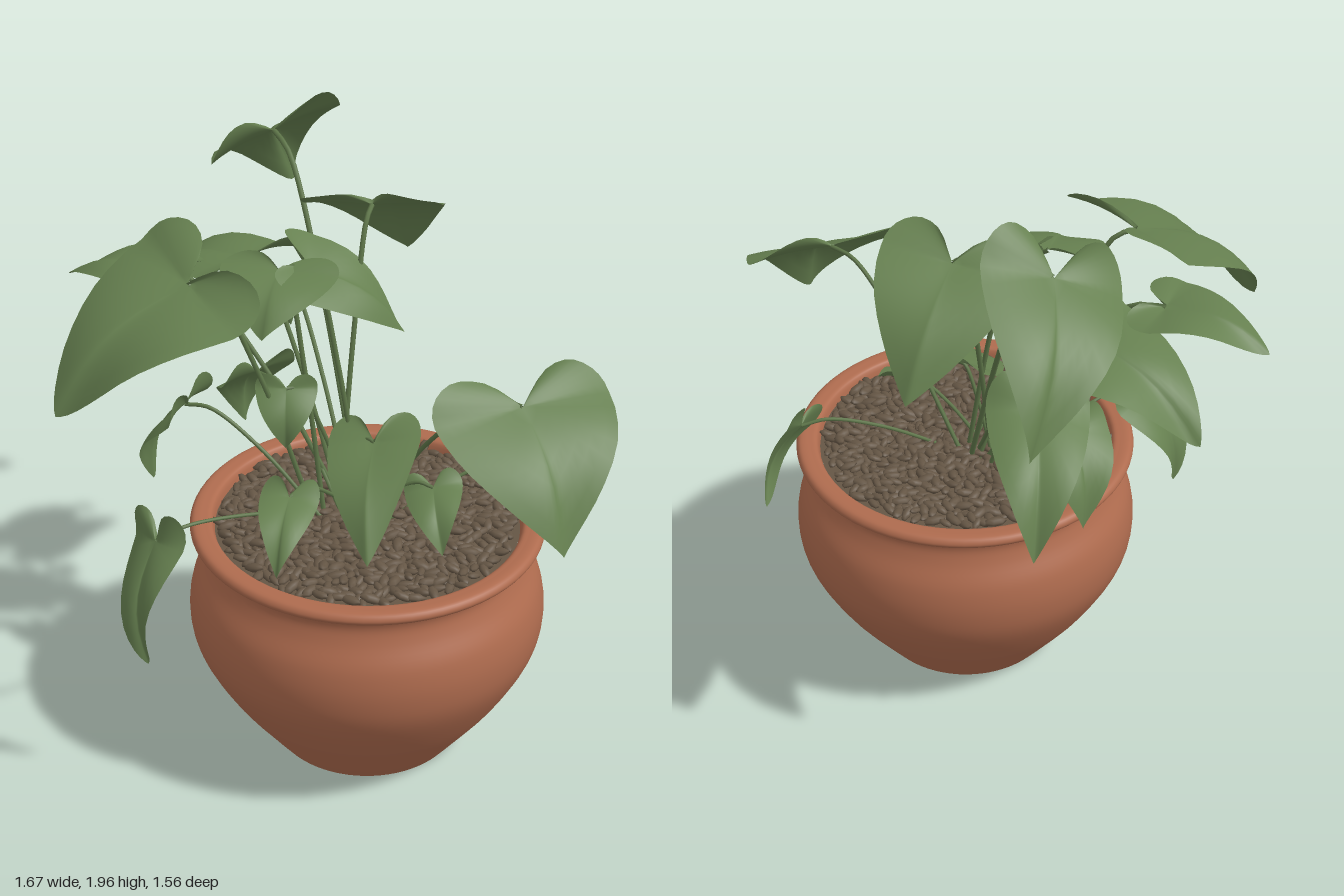
import * as THREE from 'three';
import { mergeGeometries } from 'three/addons/utils/BufferGeometryUtils.js';

const UP = new THREE.Vector3(0, 1, 0);
const CX = 0.11, CZ = 0.22; // pot axis

const mat = (name, color, side = THREE.FrontSide) => {
  const m = new THREE.MeshStandardMaterial({ color, side });
  m.name = name;
  return m;
};

// Small seeded random
let seed = 7;
const rnd = () => ((seed = (seed * 16807) % 2147483647) / 2147483647);

const spline = (pts, n) => new THREE.SplineCurve(pts.map((p) => new THREE.Vector2(...p))).getPoints(n);

// Heart outline, [sideways, along the midrib], mirrored to the other side
const half = spline([[0, 1], [0.16, 0.9], [0.5, 0.66], [0.84, 0.34], [1, 0.02], [0.93, -0.24], [0.66, -0.38], [0.3, -0.3], [0, 0]], 22);
const outline = [...half, ...half.slice(1, -1).reverse().map((p) => new THREE.Vector2(-p.x, p.y))];

// Heart leaf from stalk joint to tip, rolled about its midrib (degrees)
function leafGeometry(joint, tip, halfWidth, roll, phase) {
  const along = tip.clone().sub(joint), len = along.length();
  const side = along.clone().cross(UP).setLength(halfWidth);
  side.applyAxisAngle(along.clone().normalize(), THREE.MathUtils.degToRad(-roll));
  const n = along.clone().cross(side).normalize();
  if (n.y < 0) n.negate();
  const rings = 7, N = outline.length;
  const pos = joint.toArray(), idx = [];
  for (let r = 1; r <= rings; r++) {
    const k = r / rings;
    outline.forEach((o, i) => {
      const v = o.x * k, u = o.y * k;
      // arched blade, sunken midrib, gently waved margin
      const arch = 0.15 * Math.sin(Math.PI * Math.max(u, 0)) + 0.05 * Math.sqrt(v * v + 0.002) - 0.08 * v * v;
      const wave = 0.035 * k * k * Math.sin((i / N) * Math.PI * 8 + phase);
      const p = joint.clone().addScaledVector(side, v).addScaledVector(along, u > 0 ? u : u * 0.65);
      p.addScaledVector(n, len * (arch + wave));
      pos.push(p.x, p.y, p.z);
    });
  }
  for (let i = 0; i < N; i++) {
    const j = (i + 1) % N;
    idx.push(0, 1 + i, 1 + j);
    for (let r = 0; r < rings - 1; r++) {
      const a = 1 + r * N + i, b = 1 + r * N + j;
      idx.push(a, a + N, b + N, a, b + N, b);
    }
  }
  const g = new THREE.BufferGeometry();
  g.setAttribute('position', new THREE.Float32BufferAttribute(pos, 3));
  g.setIndex(idx);
  g.computeVertexNormals();
  return g;
}

// Leaves: joint xyz, tip xyz, half width, roll
const leaves = [
  // tall rear leaves
  [-0.2, 1.82, -0.38, -0.16, 1.47, -0.78, 0.22, 29],
  [0.11, 1.69, -0.13, 0.22, 1.38, -0.43, 0.22, 9],
  [-0.28, 1.48, -0.18, -0.64, 1.26, -0.39, 0.21, -8],
  [-0.16, 1.32, -0.33, -0.17, 1, -0.65, 0.155, 6],
  // left side
  [-0.42, 1.6, 0.24, -0.8, 1.25, 0.43, 0.285, 10],
  [-0.52, 1.5, -0.03, -0.83, 1.42, -0.15, 0.15],
  [-0.46, 1.1, 0.08, -0.58, 0.8, 0.03, 0.13],
  [-0.52, 0.87, 0.5, -0.55, 0.5, 0.62, 0.11, -31],
  // middle
  [-0.08, 1.58, 0.08, 0.21, 1.33, 0.03, 0.14, -25],
  [-0.16, 1.59, 0.12, -0.2, 1.47, 0.34, 0.18],
  [-0.14, 1.22, 0.18, -0.14, 1.05, 0.25, 0.095],
  [-0.25, 1.1, -0.13, -0.3, 0.83, -0.28, 0.13, 13],
  // low front
  [0.13, 1.07, 0.24, 0.12, 0.82, 0.55, 0.145, -14],
  [-0.12, 0.99, 0.43, -0.15, 0.84, 0.64, 0.09],
  [0.31, 0.95, 0.3, 0.34, 0.81, 0.46, 0.09, -15],
  // right side
  [0.56, 1.34, 0.47, 0.68, 1, 0.74, 0.28],
  [0.62, 0.92, 0.06, 0.72, 0.67, -0.06, 0.11, -69],
];

export function createModel() {
  const model = new THREE.Group();
  model.name = 'pottedPlant';
  const clay = mat('terracotta', 0xae6b4e);
  const stone = mat('brownPebble', 0x655645);
  const green = mat('leafGreen', 0x668050, THREE.DoubleSide);
  const stemGreen = mat('stemGreen', 0x5d7448);
  const add = (name, geo, m, parent = model) => {
    const mesh = new THREE.Mesh(geo, m);
    mesh.name = name;
    parent.add(mesh);
    return mesh;
  };

  // Bellied pot with a rolled rim
  const wall = spline([
    [0.3, 0], [0.36, 0.08], [0.46, 0.22], [0.54, 0.37], [0.56, 0.48], [0.545, 0.58], [0.505, 0.66], [0.49, 0.71],
    [0.505, 0.75], [0.54, 0.763], [0.552, 0.78], [0.54, 0.798], [0.51, 0.8], [0.482, 0.79], [0.47, 0.73],
  ], 70);
  add('pot', new THREE.LatheGeometry(wall, 72), clay).position.set(CX, 0, CZ);
  const base = add('potBase', new THREE.CircleGeometry(0.3, 72), clay);
  base.rotation.x = Math.PI / 2;
  base.position.set(CX, 0, CZ);

  // Pebble bed
  const bed = add('pebbleBed', new THREE.CircleGeometry(0.475, 48), stone);
  bed.rotation.x = -Math.PI / 2;
  bed.position.set(CX, 0.765, CZ);
  const pebbles = [], count = 720;
  for (let i = 0; i < count; i++) {
    const r = 0.455 * Math.sqrt((i + 0.5) / count), a = i * 2.39996;
    const s = 0.8 + rnd() * 0.5;
    const g = new THREE.SphereGeometry(1, 7, 5);
    g.scale(0.029 * s, 0.011 * s, 0.014 * s);
    g.rotateZ((rnd() - 0.5) * 0.7);
    g.rotateY(rnd() * Math.PI);
    g.translate(CX + r * Math.cos(a), 0.775 + rnd() * 0.015, CZ + r * Math.sin(a));
    pebbles.push(g);
  }
  add('pebbles', mergeGeometries(pebbles), stone);

  // Leaves on arching stalks from a common crown
  leaves.forEach(([jx, jy, jz, tx, ty, tz, width, roll = 0], i) => {
    const plant = new THREE.Group();
    plant.name = 'leafStalk' + (i + 1);
    model.add(plant);
    const joint = new THREE.Vector3(jx, jy, jz);
    add('leaf', leafGeometry(joint, new THREE.Vector3(tx, ty, tz), width, roll, i * 1.7), green, plant);
    const a = i * 2.4, rise = jy - 0.76;
    const start = new THREE.Vector3(0.05 + 0.06 * Math.cos(a) + jx * 0.12, 0.76, 0.16 + 0.05 * Math.sin(a) + jz * 0.08);
    const mid = start.clone().lerp(joint, 0.45).setY(0.78 + rise * 0.6);
    const late = start.clone().lerp(joint, 0.82).setY(0.78 + rise * 0.95);
    const curve = new THREE.CatmullRomCurve3([start, mid, late, joint]);
    add('stalk', new THREE.TubeGeometry(curve, 24, 0.0055 + 0.003 * rise, 7), stemGreen, plant);
  });

  return model;
}
